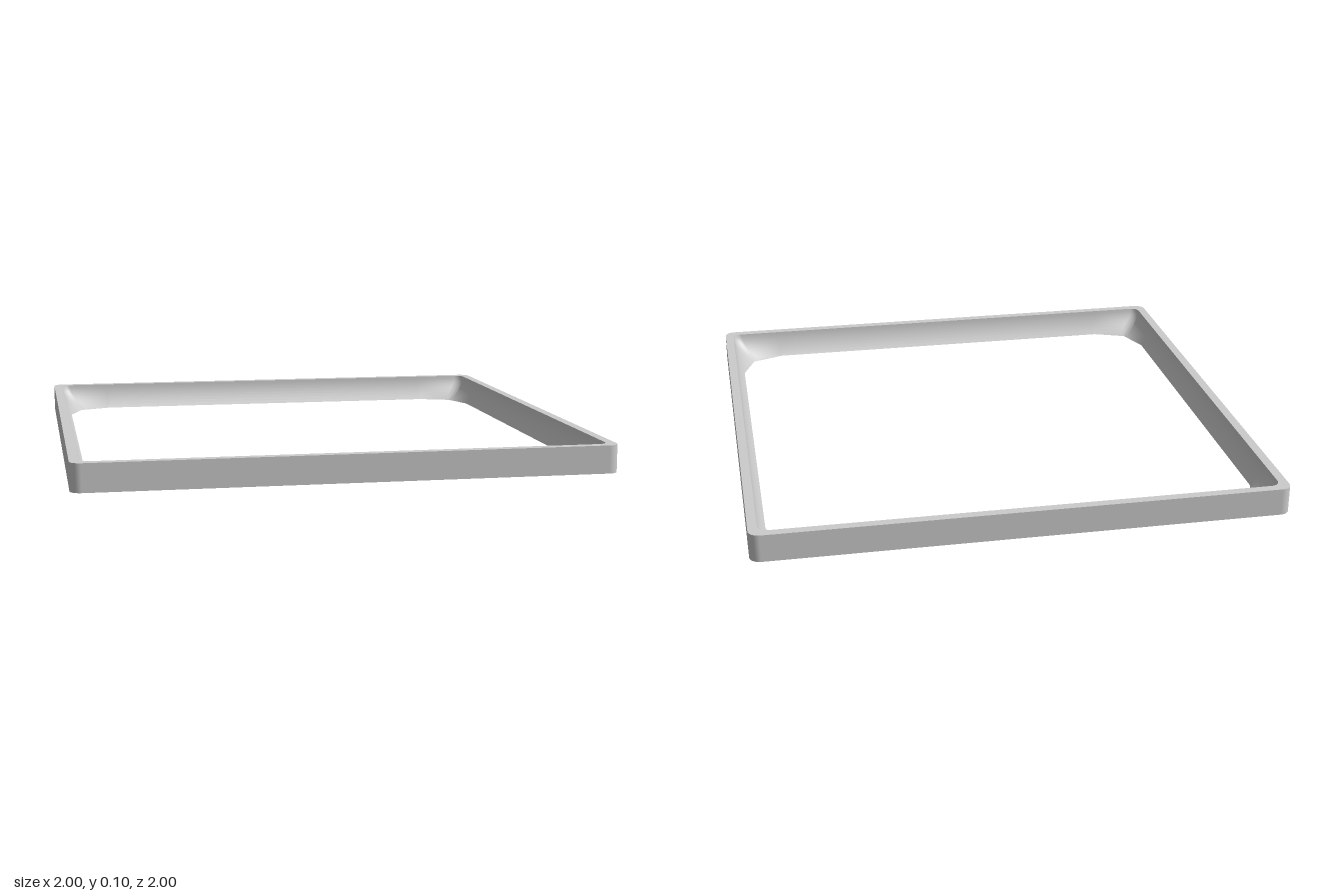
import * as THREE from 'three';

const HEIGHT = 0.105;
const ARC = 8; // steps around each rounded corner

// Repeats one corner's [x, z] points around the four corners
function aroundCorners(points) {
  const loop = [];
  for (let q = 0, pts = points; q < 4; q++) {
    loop.push(...pts);
    pts = pts.map(([x, z]) => [-z, x]);
  }
  return loop;
}

// Rounded square, with a point on the straight side before and after each arc
function roundedSquare(half, radius) {
  const c = half - radius;
  const pts = [[half, 0.75]];
  for (let k = 0; k <= ARC; k++) {
    const a = (k / ARC) * Math.PI / 2;
    pts.push([c + radius * Math.cos(a), c + radius * Math.sin(a)]);
  }
  pts.push([0.75, half]);
  return aroundCorners(pts);
}

// Square opening with faceted gussets in the corners, matched point for point
function gussetedSquare(half, start, mid) {
  const pts = [[half, start]];
  for (let k = 0; k <= ARC; k++) {
    const d = Math.abs(k - ARC / 2) / (ARC / 2);
    const s = 1 - 0.15 * d;
    const p = half + (mid - half) * s;
    const q = start + (mid - start) * s;
    pts.push(k <= ARC / 2 ? [p, q] : [q, p]);
  }
  pts.push([start, half]);
  return aroundCorners(pts);
}

// Closed band skinned across a list of { loop, y } rings
function band(name, rings, material) {
  const n = rings[0].loop.length;
  const positions = [];
  const index = [];
  for (const { loop, y } of rings) for (const [x, z] of loop) positions.push(x, y, z);
  for (let r = 0; r < rings.length - 1; r++) {
    for (let i = 0; i < n; i++) {
      const j = (i + 1) % n;
      const a = r * n + i, b = r * n + j, c = a + n, d = b + n;
      index.push(a, b, c, b, d, c);
    }
  }
  const geometry = new THREE.BufferGeometry();
  geometry.setAttribute('position', new THREE.Float32BufferAttribute(positions, 3));
  geometry.setIndex(index);
  geometry.computeVertexNormals();
  const mesh = new THREE.Mesh(geometry, material);
  mesh.name = name;
  return mesh;
}

export function createModel() {
  const group = new THREE.Group();
  group.name = 'squareFrame';
  const material = new THREE.MeshStandardMaterial({ color: 0xcccccc });

  const outer = roundedSquare(1, 0.04);
  const rim = roundedSquare(0.965, 0.035);
  const opening = gussetedSquare(0.93, 0.75, 0.88);

  // Inner wall flares inward toward the bottom in a hollow curve
  const cove = [];
  const steps = 8;
  for (let r = 0; r <= steps; r++) {
    const t = r / steps;
    const w = (1 - t) ** 1.8;
    cove.push({
      y: HEIGHT * t,
      loop: rim.map(([x, z], i) => [
        x + (opening[i][0] - x) * w,
        z + (opening[i][1] - z) * w,
      ]),
    });
  }

  group.add(
    band('outerWall', [{ loop: outer, y: HEIGHT }, { loop: outer, y: 0 }], material),
    band('underside', [{ loop: outer, y: 0 }, { loop: opening, y: 0 }], material),
    band('innerCove', cove, material),
    band('topRim', [{ loop: rim, y: HEIGHT }, { loop: outer, y: HEIGHT }], material),
  );
  return group;
}
